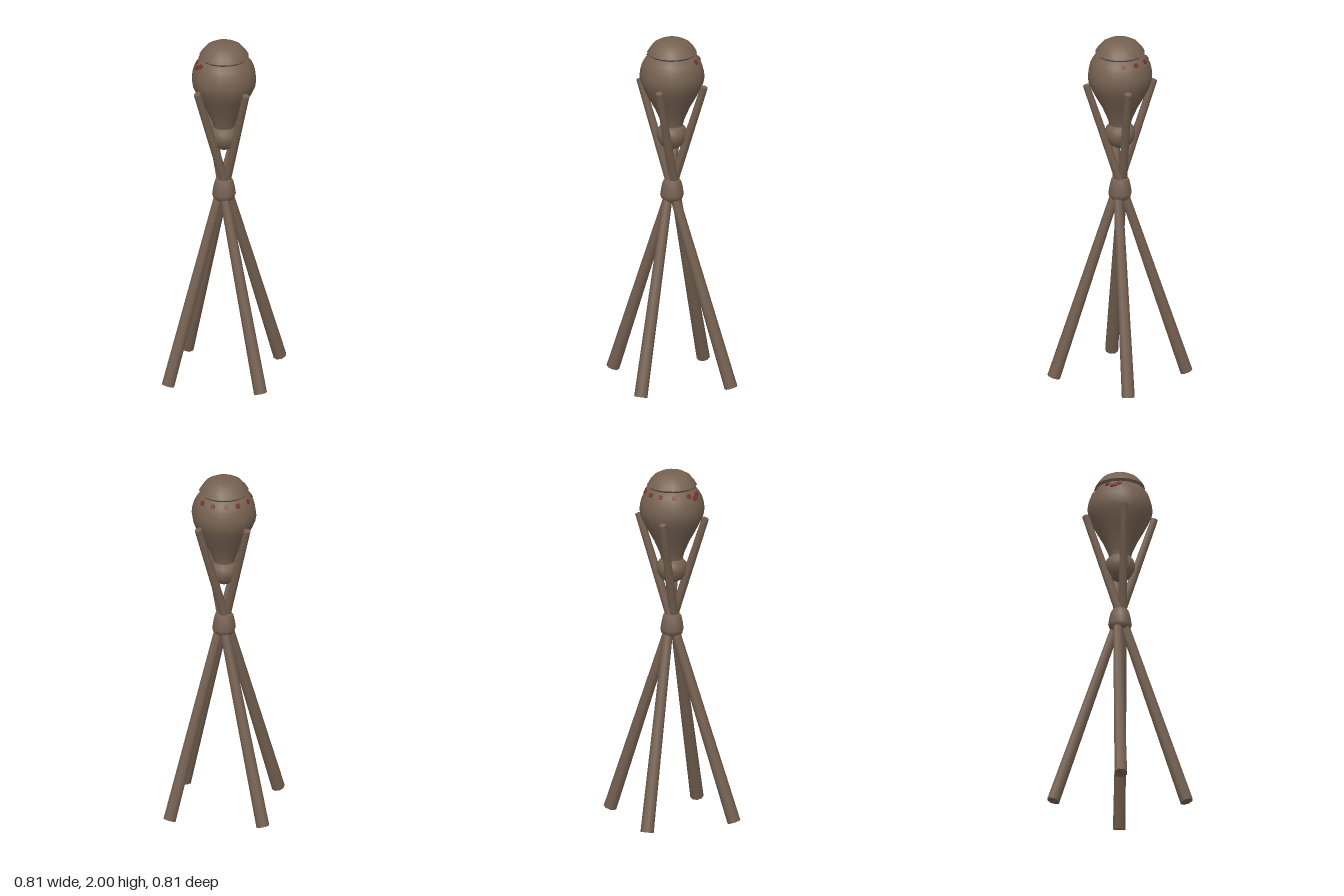
import * as THREE from 'three';

export function createModel() {
  const model = new THREE.Group();
  const clay = new THREE.MeshStandardMaterial({ name: 'brown clay', color: 0x756151 });
  const red = new THREE.MeshStandardMaterial({ name: 'dark red paint', color: 0x74352d });

  const add = (name, geometry, material) => {
    const mesh = new THREE.Mesh(geometry, material);
    mesh.name = name;
    model.add(mesh);
    return mesh;
  };
  // Profiles run from bottom to top so faces point outwards
  const lathe = (name, points, segments = 16) =>
    add(name, new THREE.LatheGeometry(points.map(([r, y]) => new THREE.Vector2(r, y)), segments), clay);

  // Four tapered poles, crossing at the binding
  const up = new THREE.Vector3(0, 1, 0);
  for (let i = 0; i < 4; i++) {
    const foot = new THREE.Vector3(0.37, 0.012, 0.014);
    const tip = new THREE.Vector3(-0.192, 1.745, 0.014);
    const dir = tip.clone().sub(foot);
    const geo = new THREE.CylinderGeometry(0.02, 0.037, dir.length(), 8);
    geo.rotateY(Math.PI / 8);
    geo.applyQuaternion(new THREE.Quaternion().setFromUnitVectors(up, dir.clone().normalize()));
    const mid = foot.add(tip).multiplyScalar(0.5);
    geo.translate(mid.x, mid.y, mid.z);
    add('pole', geo, clay).rotation.y = i * Math.PI / 2;
  }

  // Binding around the crossing
  lathe('binding', [[0, 1.053], [0.045, 1.055], [0.06, 1.07], [0.066, 1.09],
    [0.06, 1.13], [0.052, 1.165], [0.043, 1.18], [0, 1.182]], 12);

  // Hanging gourd vessel with a rounded foot
  lathe('vessel', [[0.06, 1.46], [0.058, 1.49], [0.068, 1.53], [0.098, 1.6], [0.132, 1.66],
    [0.158, 1.71], [0.175, 1.75], [0.181, 1.785], [0.177, 1.82], [0.168, 1.855],
    [0.153, 1.885], [0.132, 1.91], [0.11, 1.925]]);
  lathe('vesselFoot', [[0, 1.365], [0.035, 1.368], [0.062, 1.385], [0.08, 1.415],
    [0.086, 1.445], [0.08, 1.475], [0.062, 1.497], [0.03, 1.51], [0, 1.512]]);

  // Domed lid with a small overhang
  lathe('lidRim', [[0.115, 1.9], [0.139, 1.925]]);
  lathe('lid', [[0.139, 1.925], [0.124, 1.95], [0.1, 1.978], [0.066, 1.996], [0.03, 2], [0, 2]]);

  // Painted spots on the shoulder: angle in degrees from +z towards +x, height, surface radius
  const spots = [[179, 1.89, 0.149], [207, 1.89, 0.149], [238, 1.89, 0.149], [264, 1.89, 0.149],
    [295, 1.89, 0.149], [329, 1.89, 0.149], [341, 1.873, 0.158], [347, 1.878, 0.156], [356, 1.89, 0.149]];
  const normal = new THREE.Vector3();
  for (const [deg, y, r] of spots) {
    const a = deg * Math.PI / 180;
    const spot = add('paintedSpot', new THREE.CylinderGeometry(0.014, 0.014, 0.008, 8), red);
    spot.position.set(Math.sin(a) * r, y, Math.cos(a) * r);
    normal.set(Math.sin(a), 0.65, Math.cos(a)).normalize();
    spot.quaternion.setFromUnitVectors(up, normal);
  }
  return model;
}
